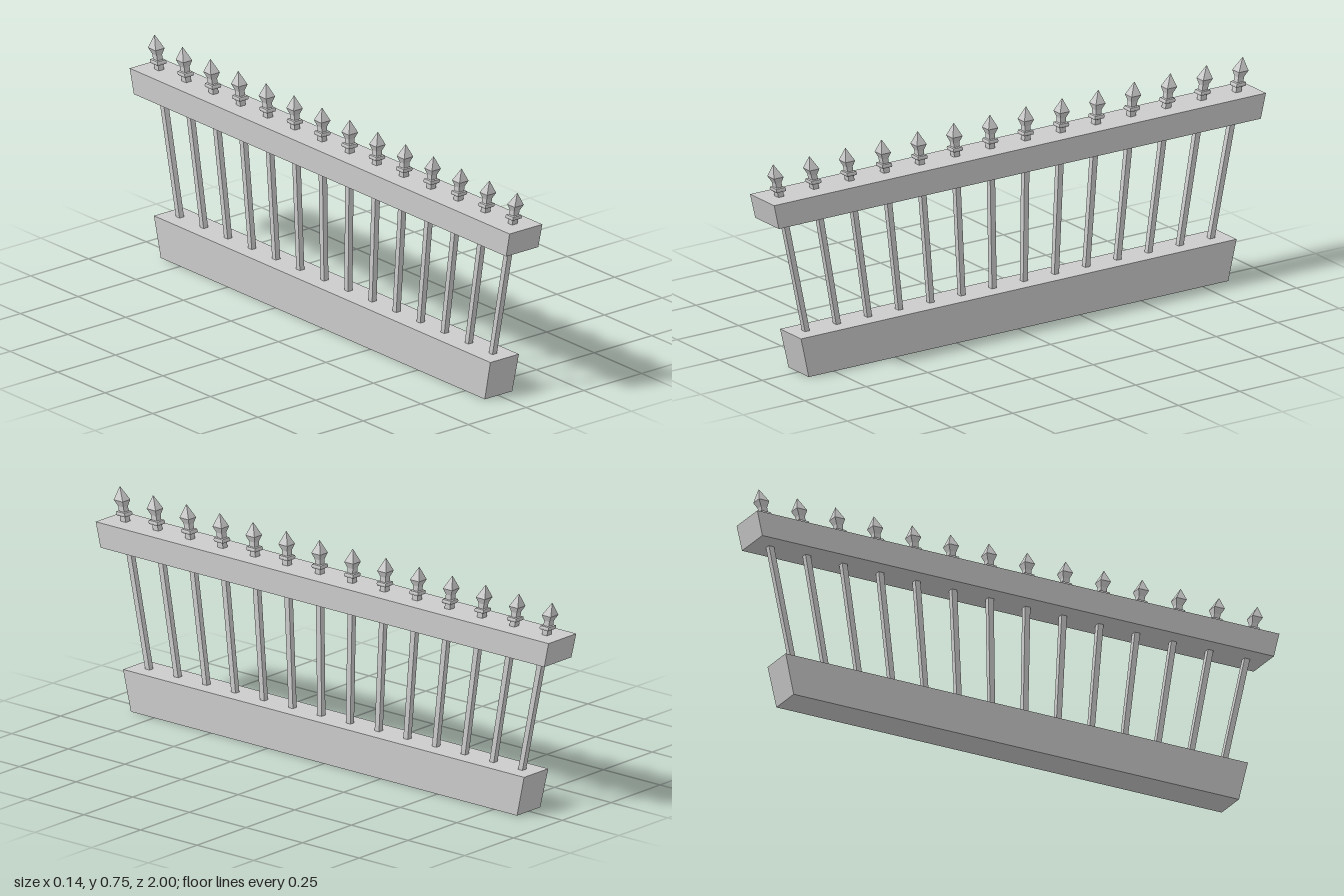
import * as THREE from 'three';

const POSTS = 14;
const HALF_LENGTH = 0.8527; // half length of the railing at ground level

// The whole railing flares outward with height and leans very slightly sideways.
function flare(geometry) {
  const p = geometry.attributes.position;
  for (let i = 0; i < p.count; i++) {
    const y = p.getY(i);
    const s = 1 + 0.27 * y;
    p.setXYZ(i, p.getX(i) * s + 0.0015 - 0.0035 * y, y, p.getZ(i) * s);
  }
  geometry.computeVertexNormals();
  return geometry;
}

export function createModel() {
  const group = new THREE.Group();
  const material = new THREE.MeshStandardMaterial({ color: 0xcccccc, flatShading: true });

  const add = (name, geometry) => {
    const mesh = new THREE.Mesh(flare(geometry), material);
    mesh.name = name;
    group.add(mesh);
  };

  // Long beam between two heights
  const beam = (name, halfWidth, y0, y1) => {
    const g = new THREE.BoxGeometry(halfWidth * 2, y1 - y0, HALF_LENGTH * 2);
    add(name, g.translate(0, (y0 + y1) / 2, 0));
  };

  // Square turned piece from [half width, height] pairs, bottom to top
  const squareLathe = (name, profile, z) => {
    const points = profile.map(([r, y]) => new THREE.Vector2(r * Math.SQRT2, y));
    const g = new THREE.LatheGeometry(points, 4, Math.PI / 4);
    add(name, g.translate(0, 0, z));
  };

  beam('baseBeam', 0.0595, 0, 0.142);
  beam('topRail', 0.0605, 0.552, 0.639);

  // Post profile, and finial profile: neck, collar and pointed spearhead
  const post = [[0.0093, 0.13], [0.0088, 0.56]];
  const finial = [
    [0.0098, 0.63], [0.0098, 0.656], [0.0155, 0.659], [0.0168, 0.665], [0.0155, 0.672],
    [0.0098, 0.673], [0.0098, 0.69], [0.0165, 0.711], [0.0005, 0.755], [0, 0.755],
  ];

  for (let i = 0; i < POSTS; i++) {
    const z = HALF_LENGTH * 0.93 * (1 - (2 * i) / (POSTS - 1));
    squareLathe('post', post, z);
    squareLathe('finial', finial, z);
  }

  return group;
}
